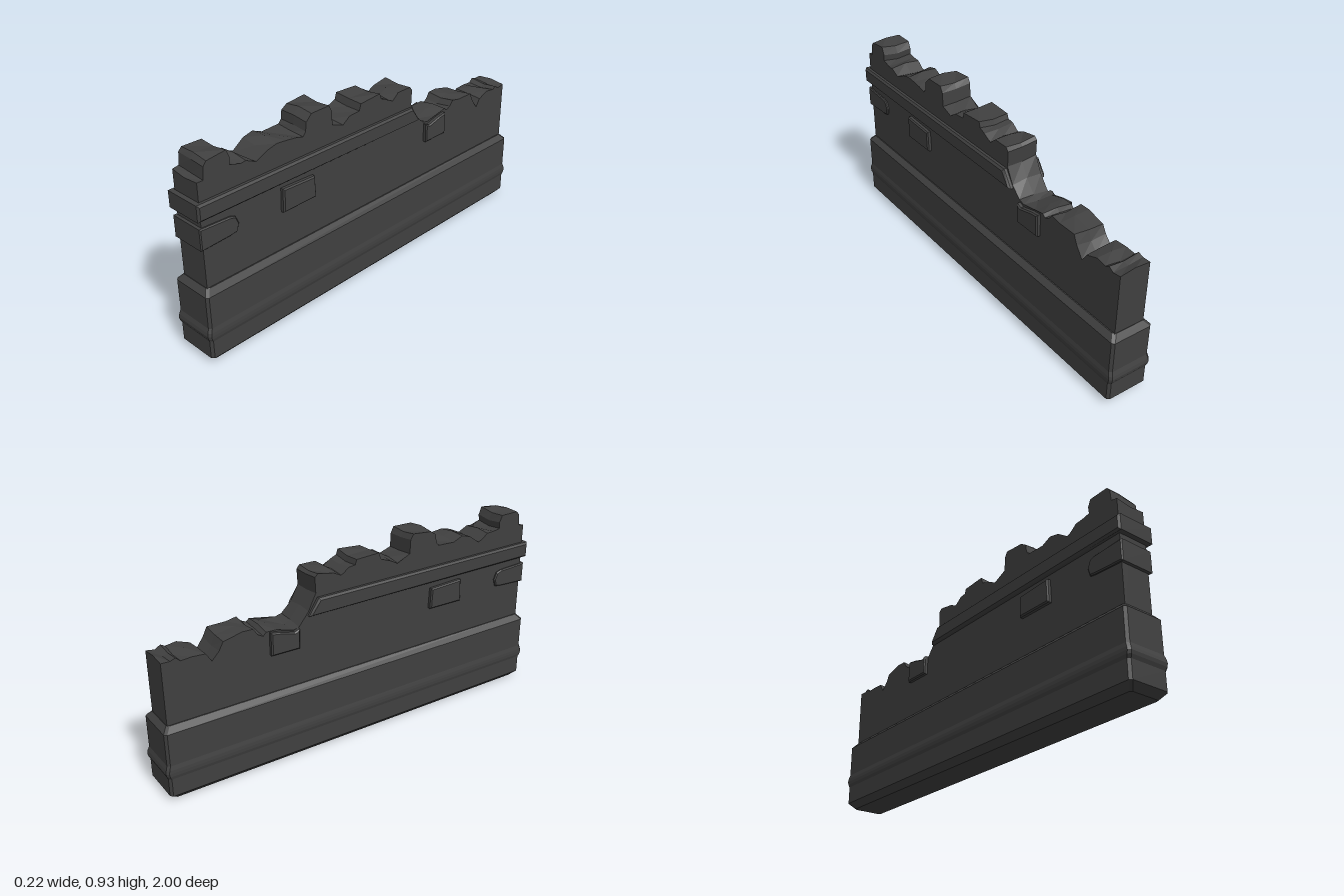
import * as THREE from 'three';

const stone = new THREE.MeshStandardMaterial({ color: 0x404040, flatShading: true });

// Slab drawn in side view as [z, y] points, extruded symmetrically across x
function slab(name, points, halfX, bevel = 0, steps = 1) {
  const shape = new THREE.Shape(points.map(([z, y]) => new THREE.Vector2(z, y)));
  const geometry = new THREE.ExtrudeGeometry(shape, {
    depth: 2 * (halfX - bevel), steps, bevelEnabled: bevel > 0, bevelSegments: 1,
    bevelSize: bevel, bevelThickness: bevel, bevelOffset: -bevel,
  });
  geometry.translate(0, 0, -(halfX - bevel)).rotateY(-Math.PI / 2);
  const mesh = new THREE.Mesh(geometry, stone);
  mesh.name = name;
  return mesh;
}

// Plinth lofted from chamfered rectangles; rows are [y, halfX, halfZ]
function plinth(rows, chamfer) {
  const pos = [], index = [];
  for (const [y, a, b] of rows) {
    const c = chamfer;
    for (const [x, z] of [[a, b - c], [a, c - b], [a - c, -b], [c - a, -b],
      [-a, c - b], [-a, b - c], [c - a, b], [a - c, b]]) pos.push(x, y, z);
  }
  for (let r = 0; r < rows.length - 1; r++) {
    for (let i = 0; i < 8; i++) {
      const p = r * 8 + i, q = r * 8 + (i + 1) % 8;
      index.push(p, q, q + 8, p, q + 8, p + 8);
    }
  }
  const top = (rows.length - 1) * 8;
  for (let i = 1; i < 7; i++) {
    index.push(0, i + 1, i);
    index.push(top, top + i, top + i + 1);
  }
  const geometry = new THREE.BufferGeometry();
  geometry.setAttribute('position', new THREE.Float32BufferAttribute(pos, 3));
  geometry.setIndex(index);
  geometry.computeVertexNormals();
  const mesh = new THREE.Mesh(geometry, stone);
  mesh.name = 'plinth';
  return mesh;
}

// Broken crest, running from the front end to the back end
const crest = [
  [0.965, 0.835], [0.935, 0.84], [0.93, 0.895], [0.915, 0.915], [0.82, 0.915], [0.805, 0.88],
  [0.808, 0.85], [0.77, 0.84], [0.73, 0.845], [0.68, 0.812], [0.62, 0.845], [0.57, 0.862],
  [0.52, 0.848], [0.47, 0.842], [0.43, 0.84], [0.415, 0.86], [0.41, 0.9], [0.38, 0.926],
  [0.28, 0.926], [0.265, 0.9], [0.262, 0.835], [0.2, 0.81], [0.16, 0.832], [0.1, 0.845],
  [0.09, 0.877], [-0.03, 0.877], [-0.038, 0.852], [-0.07, 0.845], [-0.11, 0.822],
  [-0.15, 0.848], [-0.23, 0.852], [-0.245, 0.838], [-0.242, 0.765], [-0.28, 0.695],
  [-0.33, 0.64], [-0.36, 0.63], [-0.44, 0.65], [-0.49, 0.66], [-0.505, 0.645], [-0.53, 0.655],
  [-0.55, 0.682], [-0.6, 0.682], [-0.69, 0.67], [-0.71, 0.63], [-0.745, 0.588],
  [-0.77, 0.63], [-0.83, 0.645], [-0.88, 0.635], [-0.9, 0.65], [-0.925, 0.64], [-0.965, 0.648],
];

export function createModel() {
  const model = new THREE.Group();
  model.name = 'ruinedWall';

  // Plinth with sloped foot, slight swelling and sloped shoulder
  model.add(plinth([
    [0, 0.075, 0.962], [0.03, 0.103, 0.99], [0.115, 0.103, 0.99], [0.13, 0.107, 0.997],
    [0.145, 0.108, 1], [0.16, 0.107, 0.997], [0.18, 0.103, 0.99],
    [0.33, 0.103, 0.99], [0.355, 0.08, 0.967],
  ], 0.011));

  // Wall, with the broken top made uneven across its thickness
  const wall = slab('wall', [[-0.965, 0.3], [0.965, 0.3], ...crest], 0.075, 0, 2);
  const p = wall.geometry.attributes.position;
  for (let i = 0; i < p.count; i++) {
    if (p.getY(i) < 0.5) continue;
    const side = Math.round(p.getX(i) / 0.075);
    const wave = Math.sin(p.getZ(i) * 37 + side * 2.1);
    p.setY(i, p.getY(i) - 0.006 * (1 - wave));
  }
  wall.geometry.computeVertexNormals();
  model.add(wall);

  // Raised course wrapping the front end, broken off at the back
  model.add(slab('stringCourse',
    [[-0.285, 0.67], [0.987, 0.67], [0.987, 0.745], [-0.235, 0.745]], 0.097, 0.009));

  // Protruding stones, showing on both faces
  model.add(slab('cornerStone', [[0.8, 0.55], [0.83, 0.545], [0.98, 0.537], [0.98, 0.635],
    [0.83, 0.628], [0.805, 0.62], [0.79, 0.585]], 0.086, 0.005));
  model.add(slab('faceStone',
    [[0.38, 0.537], [0.565, 0.535], [0.562, 0.645], [0.385, 0.638]], 0.095, 0.006));
  model.add(slab('brokenStone', [[-0.477, 0.537], [-0.337, 0.535], [-0.335, 0.628],
    [-0.36, 0.618], [-0.43, 0.637], [-0.475, 0.644]], 0.095, 0.006));

  return model;
}
